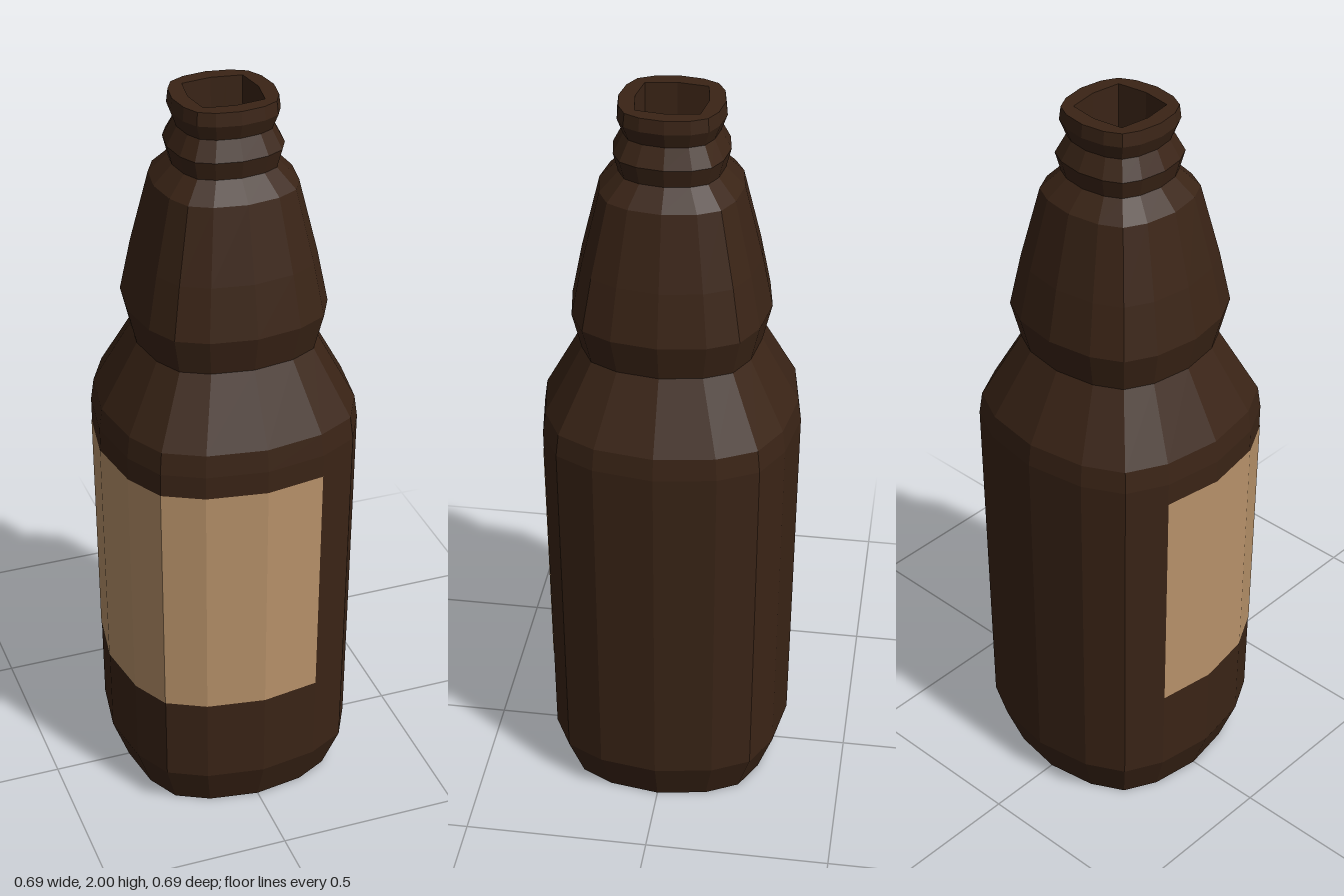
import * as THREE from 'three';

const SIDES = 16;

// Rounded-square cross-sections: one quarter each, from front (+z) towards +x
const OUTER = [[0, 1], [0.466, 0.926], [0.768, 0.768], [0.926, 0.466]];
const MOUTH = [[0, 1], [0.435, 0.935], [0.87, 0.87], [0.935, 0.435]];

// Point k of a ring, found by turning the quarter about the y axis
function ringPoint([r, y, section = OUTER], k) {
  const i = (k + SIDES) % SIDES;
  let [x, z] = section[i % 4];
  for (let q = 0; q < Math.floor(i / 4); q++) [x, z] = [z, -x];
  return [x * r, y, z * r];
}

// Flat-faced skin through rings, from side number `from` up to `to`
function loft(rings, from = 0, to = SIDES) {
  const pos = [];
  for (let j = 0; j < rings.length - 1; j++) {
    const [low, high] = [rings[j], rings[j + 1]];
    for (let k = from; k < to; k++) {
      const a = ringPoint(low, k), b = ringPoint(low, k + 1);
      const c = ringPoint(high, k + 1), d = ringPoint(high, k);
      if (low[0] > 0) pos.push(...a, ...b, ...(high[0] > 0 ? c : d));
      if (high[0] > 0) pos.push(...a, ...c, ...d);
    }
  }
  const geometry = new THREE.BufferGeometry();
  geometry.setAttribute('position', new THREE.Float32BufferAttribute(pos, 3));
  geometry.computeVertexNormals();
  return geometry;
}

export function createModel() {
  const group = new THREE.Group();
  group.name = 'bottle';
  const glass = new THREE.MeshStandardMaterial({ color: 0x3a2416, flatShading: true });
  const paper = new THREE.MeshStandardMaterial({ color: 0xb8926a, flatShading: true, side: THREE.DoubleSide });

  const add = (name, geometry, material) => {
    const mesh = new THREE.Mesh(geometry, material);
    mesh.name = name;
    group.add(mesh);
  };

  // Base, straight body and shoulder
  add('body', loft([
    [0, 0], [0.287, 0], [0.332, 0.12], [0.343, 1.1], [0.335, 1.16], [0.236, 1.34],
  ]), glass);

  // Bulging neck
  add('neck', loft([
    [0.236, 1.34], [0.26, 1.44], [0.232, 1.58], [0.184, 1.775], [0.135, 1.825],
  ]), glass);

  // Ridged lip, rim and the hollow mouth
  add('lip', loft([
    [0.135, 1.825], [0.148, 1.875], [0.122, 1.925], [0.137, 1.965], [0.133, 2],
    [0.092, 2, MOUTH], [0.092, 1.7, MOUTH], [0, 1.7, MOUTH],
  ]), glass);

  // Paper label wrapped round the front and the model's right, just proud of the body
  const bodyRadius = (y) => 0.332 + 0.011 * (y - 0.12) / 0.98;
  add('label', loft([0.365, 1.037].map((y) => [bodyRadius(y) + 0.0015, y]), -5, 1), paper);

  return group;
}
